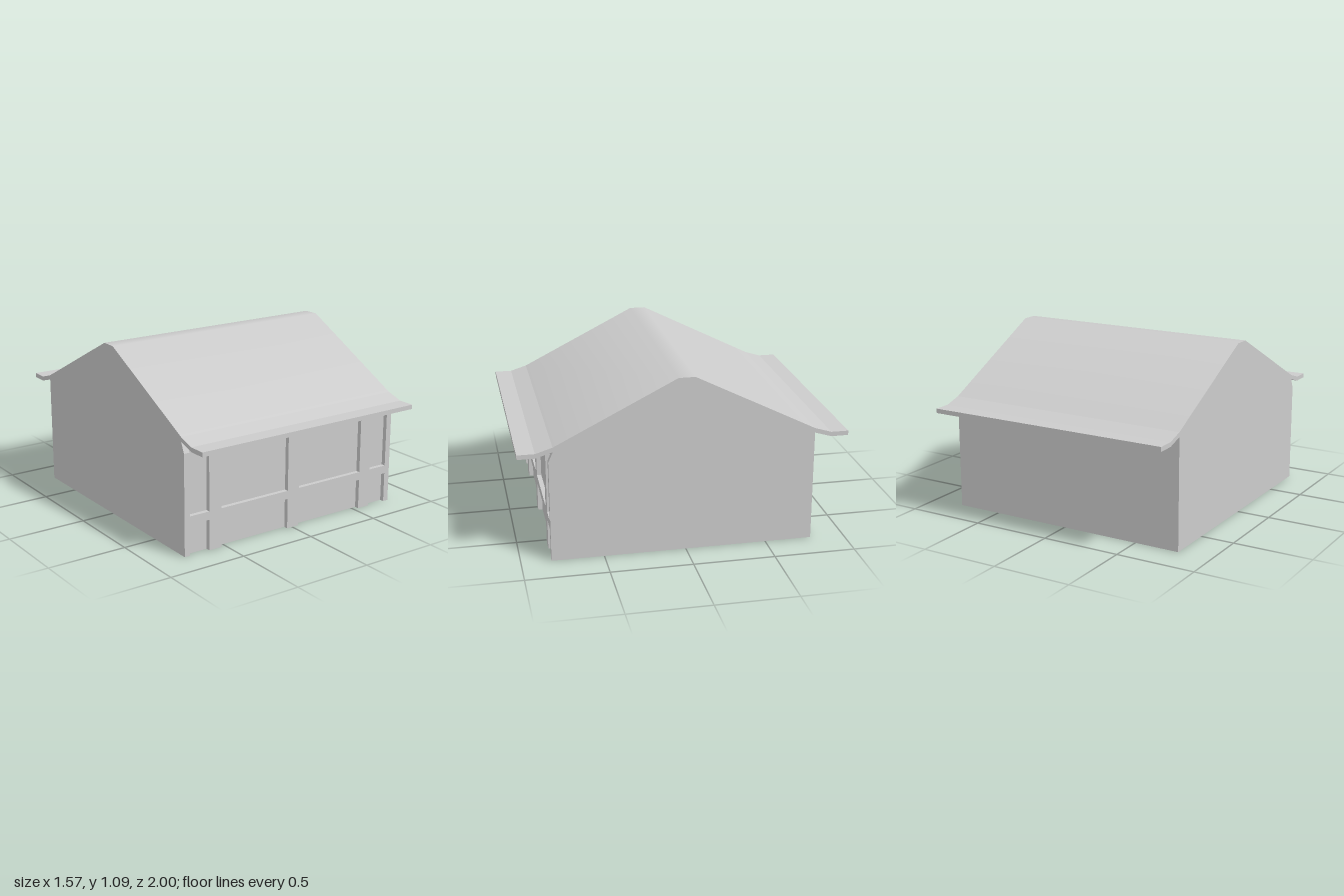
import * as THREE from 'three';

const HALF = 0.787; // half length of the house along x
const WALL = 0.79; // wall plane
const FACE = 0.818; // outer face of the timber frame

// Extrude a (z, y) profile along x between x0 and x1
function extrudeX(points, x0, x1) {
  const shape = new THREE.Shape(points.map(([z, y]) => new THREE.Vector2(z, y)));
  const geo = new THREE.ExtrudeGeometry(shape, { depth: x1 - x0, bevelEnabled: false });
  return geo.rotateY(-Math.PI / 2).translate(x1, 0, 0);
}

// Soften the shading across the ridge cap only
function softenRidge(geo) {
  const pos = geo.attributes.position;
  const nor = geo.attributes.normal;
  const v = new THREE.Vector3();
  for (let i = 0; i < pos.count; i++) {
    if (pos.getY(i) < 1.05 || Math.abs(nor.getX(i)) > 0.5) continue;
    v.set(0, 1.894, 0.447 * Math.sign(pos.getZ(i))).normalize();
    nor.setXYZ(i, v.x, v.y, v.z);
  }
  return geo;
}

export function createModel() {
  const group = new THREE.Group();
  const material = new THREE.MeshStandardMaterial({ color: 0xcccccc });
  const add = (name, geo) => {
    const mesh = new THREE.Mesh(geo, material);
    mesh.name = name;
    group.add(mesh);
  };

  // Walls, gables and roof with flared eaves: one mirrored cross-section
  const half = [
    [WALL, 0], [WALL, 0.693], [0.893, 0.662], [1, 0.662],
    [1, 0.69], [0.893, 0.69], [WALL, 0.722], [0.05, 1.094],
  ];
  const mirrored = half.map(([z, y]) => [-z, y]).reverse();
  add('houseBody', softenRidge(extrudeX([...half, ...mirrored], -HALF, HALF)));

  // Timber posts on the front, sloped back at the top
  const posts = [
    [-HALF, -0.75], [-0.615, -0.53], [-0.038, 0.047], [0.535, 0.62], [0.75, HALF],
  ];
  const postProfile = [[WALL, 0], [FACE, 0], [FACE, 0.63], [WALL, 0.693]];
  posts.forEach(([x0, x1]) => add('frontPost', extrudeX(postProfile, x0, x1)));

  // Rails between neighbouring posts
  const railProfile = [[WALL, 0.192], [FACE, 0.192], [FACE, 0.244], [WALL, 0.244]];
  for (let i = 0; i < posts.length - 1; i++) {
    add('frontRail', extrudeX(railProfile, posts[i][1], posts[i + 1][0]));
  }
  return group;
}
